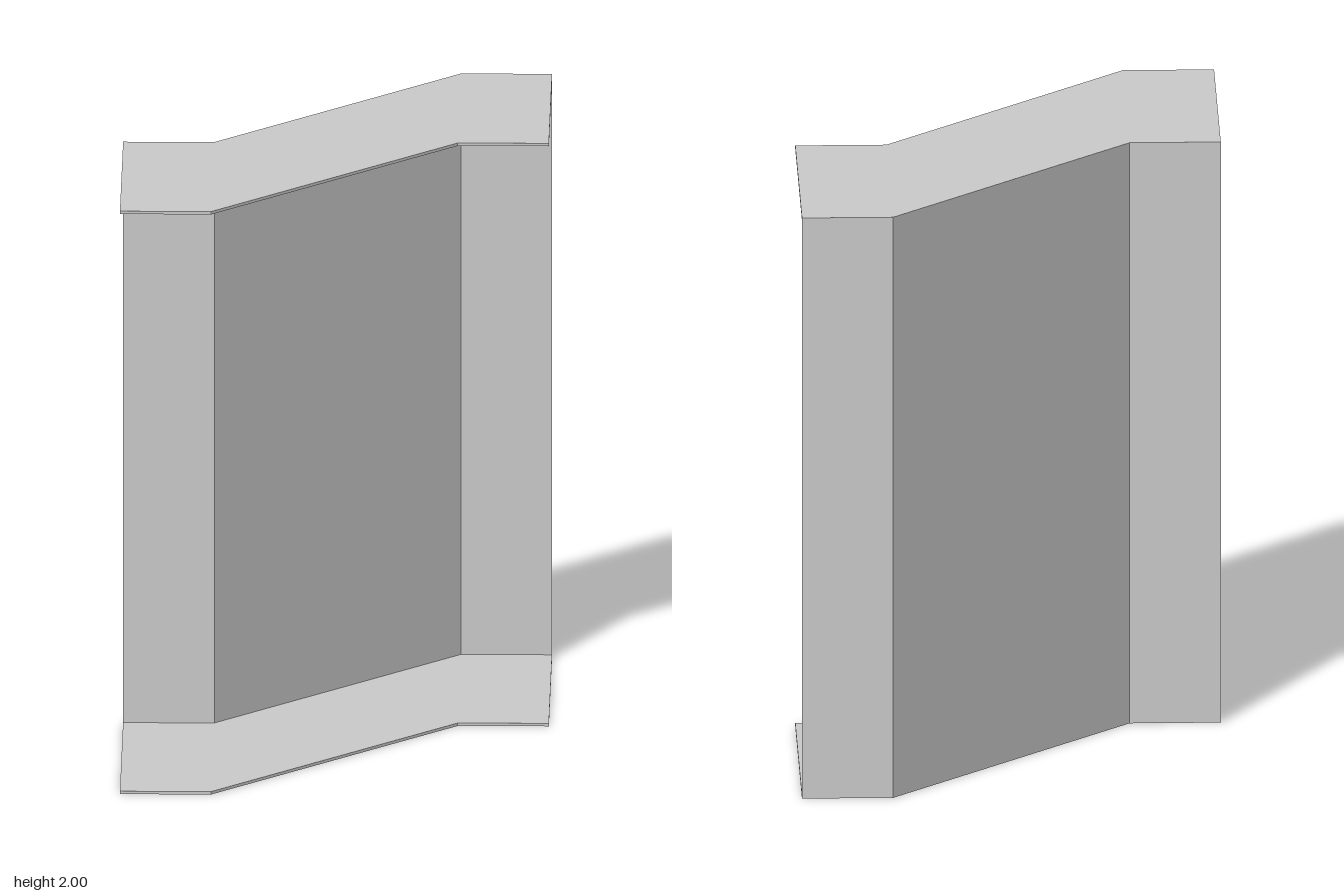
import * as THREE from 'three';

const T = 0.01; // sheet thickness
const H = 2; // overall height
// back edge of the Z-shaped plan, as [x, z]
const BACK = [[-0.7, 0], [-0.4, 0], [0.4, -0.8], [0.7, -0.8]];

// Slab whose plan is the back edge swept forward by depth
function slab(name, depth, height, y, material) {
  const front = BACK.map(([x, z]) => [x, z + depth]).reverse();
  const outline = [...BACK, ...front].map(([x, z]) => new THREE.Vector2(x, -z));
  const geometry = new THREE.ExtrudeGeometry(new THREE.Shape(outline), { depth: height, bevelEnabled: false });
  geometry.rotateX(-Math.PI / 2);
  const mesh = new THREE.Mesh(geometry, material);
  mesh.name = name;
  mesh.position.y = y;
  return mesh;
}

export function createModel() {
  const group = new THREE.Group();
  group.name = 'foldedChannel';
  const grey = new THREE.MeshStandardMaterial({ color: 0xcccccc });
  grey.name = 'sheet grey';

  group.add(
    slab('bottomPlate', 0.8, T, 0, grey),
    slab('topPlate', 0.8, T, H - T, grey),
    slab('backWall', T, H - 2 * T, T, grey), // folded web between the plates
  );
  return group;
}
